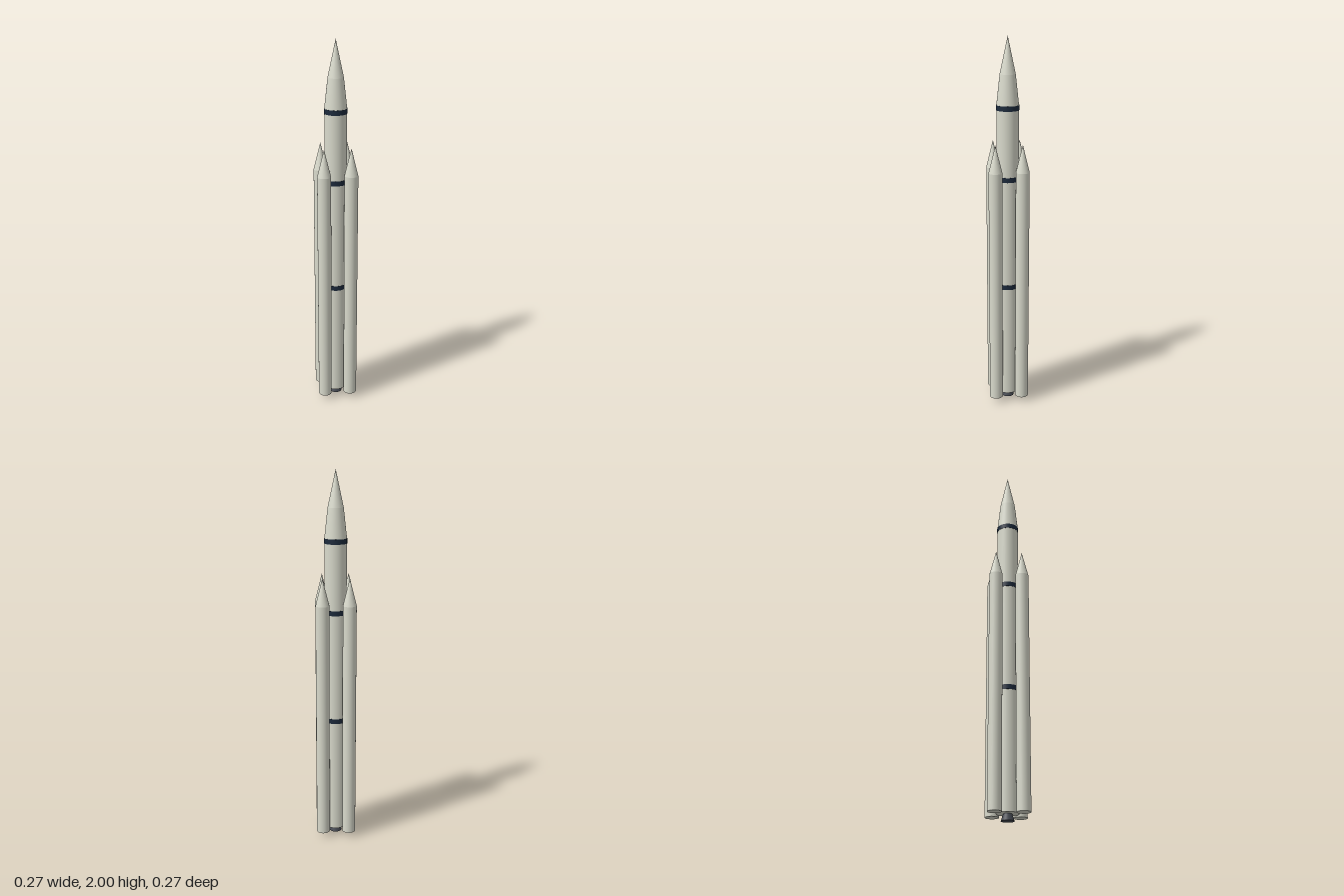
import * as THREE from 'three';

export function createModel() {
  const rocket = new THREE.Group();
  rocket.name = 'rocket';

  const material = (name, color) => {
    const m = new THREE.MeshStandardMaterial({ color });
    m.name = name;
    return m;
  };
  const white = material('warm white paint', 0xd9dacc);
  const navy = material('dark navy band', 0x1c2a3c);
  const metal = material('dark engine metal', 0x444850);

  // Upright cylinder or cone spanning y0 to y1
  const column = (parent, name, mat, rBottom, rTop, y0, y1, sides = 40, open = false) => {
    const geometry = new THREE.CylinderGeometry(rTop, rBottom, y1 - y0, sides, 1, open);
    const mesh = new THREE.Mesh(geometry, mat);
    mesh.name = name;
    mesh.position.y = (y0 + y1) / 2;
    parent.add(mesh);
    return mesh;
  };

  // Core stage and two-step nose
  column(rocket, 'coreBody', white, 0.058, 0.058, 0.035, 1.655);
  column(rocket, 'noseLower', white, 0.058, 0.041, 1.655, 1.81, 40, true);
  column(rocket, 'noseTip', white, 0.041, 0, 1.81, 2, 40, true);

  // Painted bands around the core
  [0.673, 1.27, 1.641].forEach((y, i) => {
    column(rocket, `band${i + 1}`, navy, 0.0595, 0.0595, y - 0.013, y + 0.013);
  });

  // Central engine bell
  column(rocket, 'engineNozzle', metal, 0.034, 0.022, 0, 0.035, 32);

  // Four strap-on boosters
  for (let i = 0; i < 4; i++) {
    const angle = (i * Math.PI) / 2;
    const booster = new THREE.Group();
    booster.name = `booster${i + 1}`;
    booster.position.set(Math.cos(angle) * 0.1, 0, Math.sin(angle) * 0.1);
    column(booster, 'boosterBody', white, 0.036, 0.036, 0.03, 1.315, 32);
    column(booster, 'boosterNose', white, 0.036, 0, 1.315, 1.46, 32, true);
    rocket.add(booster);
  }

  return rocket;
}
